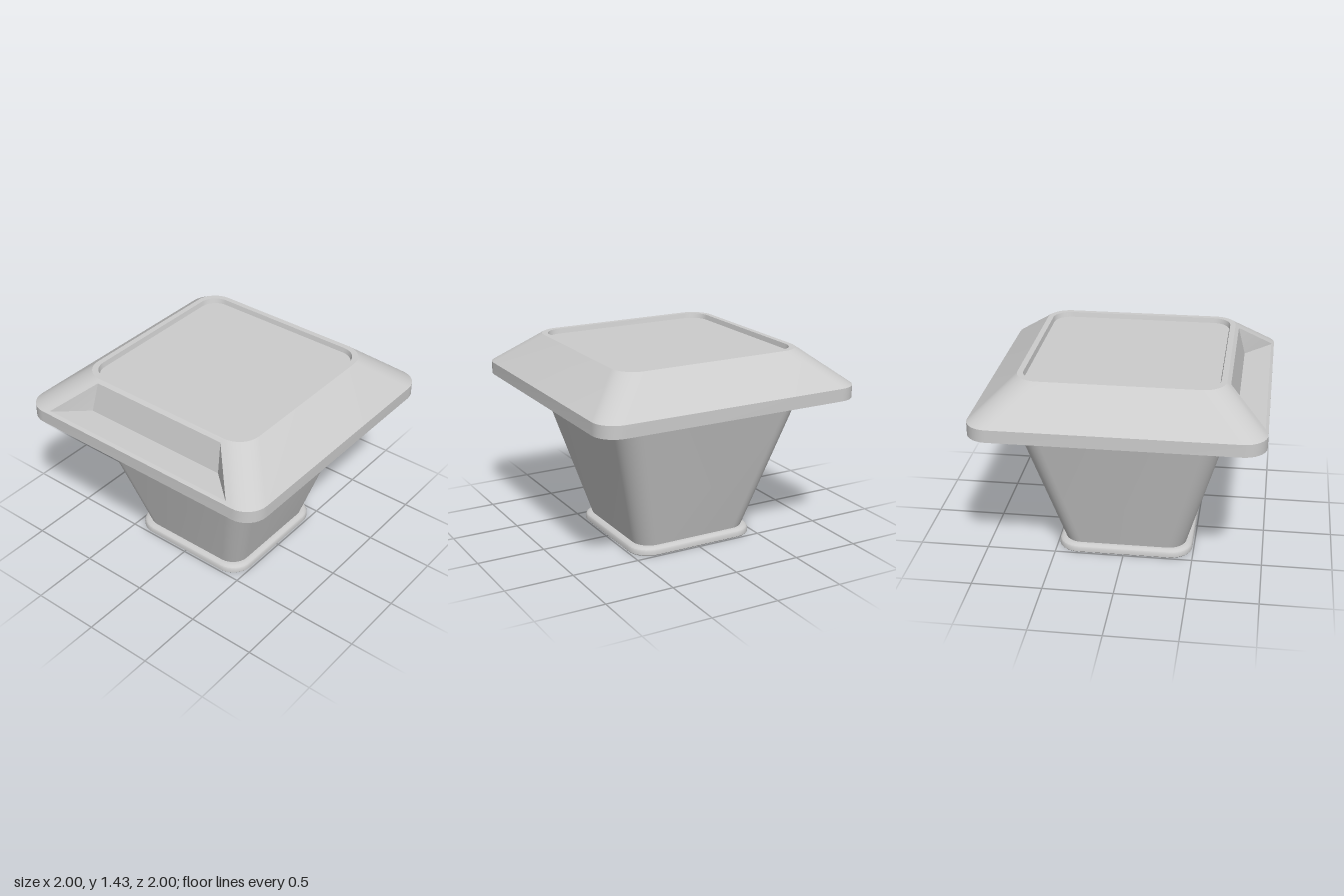
import * as THREE from 'three';
import { toCreasedNormals } from 'three/addons/utils/BufferGeometryUtils.js';

const SEG = 8; // segments per rounded corner
const material = new THREE.MeshStandardMaterial({ color: 0xcccccc });

// Rounded-square outline: half width h, height y, corner radius r
function ring([h, y, r]) {
  const pts = [];
  for (let k = 0; k < 4; k++) {
    const sx = k === 0 || k === 3 ? 1 : -1;
    const sz = k < 2 ? 1 : -1;
    for (let j = 0; j <= SEG; j++) {
      const a = (k + j / SEG) * Math.PI / 2;
      pts.push([sx * (h - r) + r * Math.cos(a), y, sz * (h - r) + r * Math.sin(a)]);
    }
  }
  return pts;
}

function quad(out, a, b, c, d) {
  out.push(...a, ...b, ...c, ...a, ...c, ...d);
}

// Skin successive outlines from bottom to top; skip(level, side) leaves a gap
function loft(profile, skip = () => false) {
  const rings = profile.map(ring);
  const out = [];
  for (let l = 0; l < rings.length - 1; l++) {
    const lo = rings[l], hi = rings[l + 1];
    for (let i = 0; i < lo.length; i++) {
      const j = (i + 1) % lo.length;
      if (!skip(l, i)) quad(out, lo[j], lo[i], hi[i], hi[j]);
    }
  }
  return out;
}

function addMesh(group, name, positions) {
  const geo = new THREE.BufferGeometry();
  geo.setAttribute('position', new THREE.Float32BufferAttribute(positions, 3));
  const mesh = new THREE.Mesh(toCreasedNormals(geo, 0.5), material);
  mesh.name = name;
  group.add(mesh);
}

// Four corners of a slot outline: front edge, then back edge
function slotLoop(x0, y0, z0, x1, y1, z1) {
  return [[x0, y0, -z0], [x0, y0, z0], [x1, y1, z1], [x1, y1, -z1]];
}

export function createModel() {
  const group = new THREE.Group();
  group.name = 'taperedPlanter';

  // Foot with a rounded upper edge
  addMesh(group, 'foot', loft([
    [0, 0, 0], [0.485, 0, 0.155], [0.49, 0.006, 0.16], [0.49, 0.03, 0.16],
    [0.484, 0.044, 0.154], [0.47, 0.055, 0.14], [0.45, 0.06, 0.13], [0.43, 0.06, 0.12],
  ]));

  // Tapered body
  addMesh(group, 'body', loft([[0.443, 0.055, 0.13], [0.71, 1.0, 0.15]]));

  // Wide cap: sloped underside, upright rim, sloped top, recess edge
  const R = 0.16;
  const slopeLevel = 2;
  const slotSide = 2 * (SEG + 1) - 1;
  const cap = loft([
    [0.7, 1.0, 0.15], [1, 1.1, R], [1, 1.19, R], [0.71, 1.43, R],
    [0.67, 1.43, 0.13], [0.662, 1.395, 0.125],
  ].map((p) => p), (l, i) => l === slopeLevel && i === slotSide);

  // Slot pocket sunk into the slope on the -x side
  const slopeY = (x) => 1.19 + 0.24 * (1 + x) / 0.29;
  const outer = slotLoop(-1, 1.19, 1 - R, -0.71, 1.43, 0.71 - R);
  const mouth = slotLoop(-0.98, slopeY(-0.98), 0.78, -0.735, slopeY(-0.735), 0.54);
  const floor = slotLoop(-0.98, 1.2, 0.78, -0.785, 1.2, 0.56);
  for (let i = 0; i < 4; i++) {
    const j = (i + 1) % 4;
    quad(cap, outer[i], outer[j], mouth[j], mouth[i]);
    quad(cap, mouth[i], mouth[j], floor[j], floor[i]);
  }
  quad(cap, ...floor);
  addMesh(group, 'cap', cap);

  // Flat panel set into the top
  addMesh(group, 'topPanel', loft([[0.662, 1.395, 0.125], [0, 1.395, 0]]));

  return group;
}
